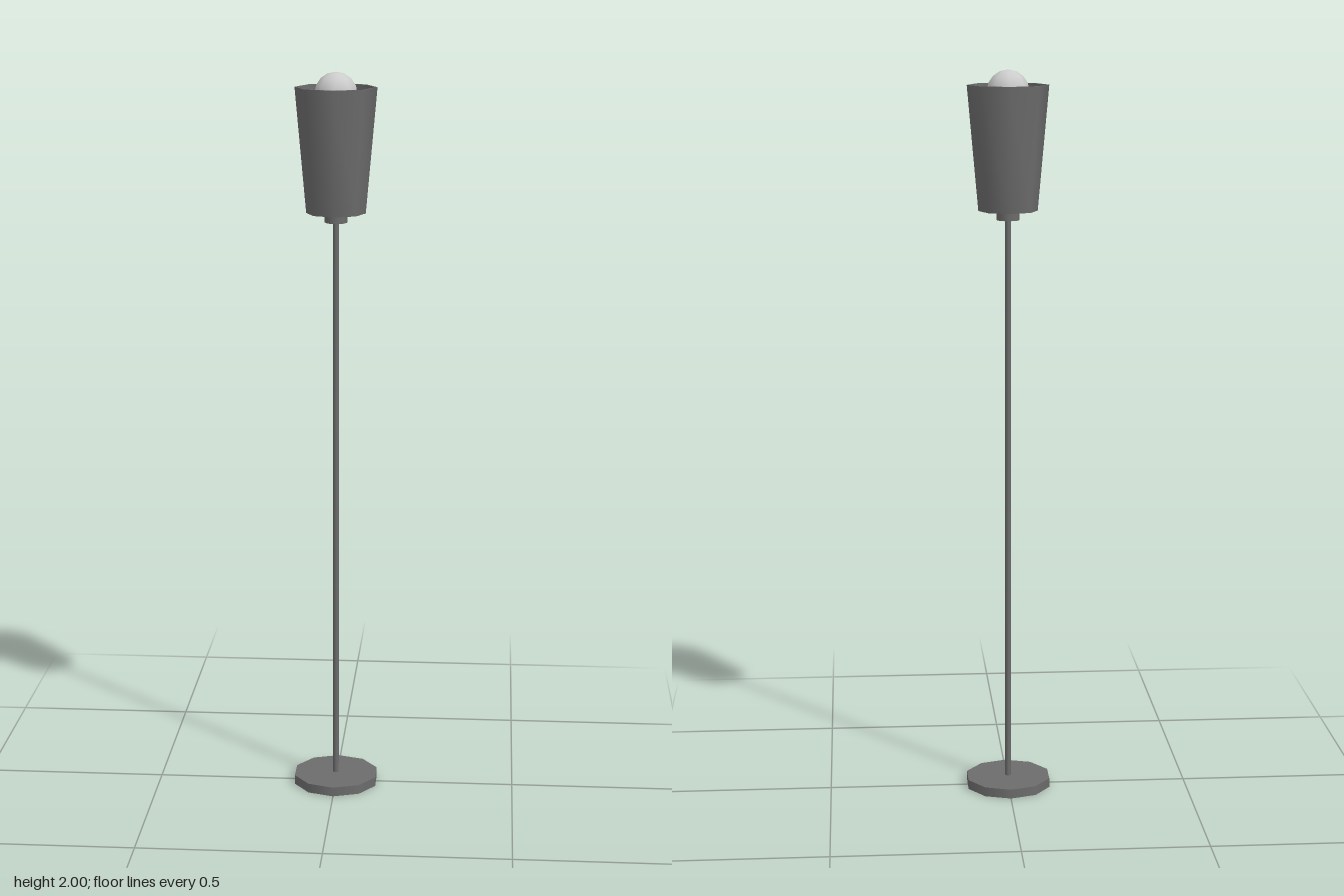
import * as THREE from 'three';
import { toCreasedNormals } from 'three/addons/utils/BufferGeometryUtils.js';

const dark = new THREE.MeshStandardMaterial({ color: 0x6c6c6c });
const light = new THREE.MeshStandardMaterial({ color: 0xcccccc });

export function createModel() {
  const model = new THREE.Group();

  const add = (name, geometry, material = dark) => {
    const mesh = new THREE.Mesh(geometry, material);
    mesh.name = name;
    model.add(mesh);
  };
  // Upright cylinder between two heights
  const post = (radius, y0, y1, sides) =>
    new THREE.CylinderGeometry(radius, radius, y1 - y0, sides).translate(0, (y0 + y1) / 2, 0);
  // Eight-sided turned part, profile given as [radius, height]
  const turned = (profile) =>
    toCreasedNormals(new THREE.LatheGeometry(profile.map(([r, y]) => new THREE.Vector2(r, y)), 8), 1);

  // Ten-sided foot, thin pole and the collar under the shade
  add('base', post(0.12, 0, 0.026, 10));
  add('pole', post(0.008, 0.026, 1.61, 8));
  add('collar', post(0.031, 1.6, 1.63, 8));

  // Flared cup, open at the top, with a wall and a solid floor
  add('shade', turned([
    [0, 1.625], [0.08, 1.625], [0.11, 1.96], [0.105, 1.96], [0.083, 1.68], [0, 1.68],
  ]));

  // Socket inside the cup
  add('socket', post(0.032, 1.68, 1.75, 8));

  // Bulb: tapered neck closed by a round dome
  const R = 0.057, centre = 1.943;
  const bulb = [[0.032, 1.74], [0.036, 1.78], [0.05, 1.86], [0.055, 1.905]];
  for (let i = 0; i <= 4; i++) {
    const a = (i * Math.PI) / 8;
    bulb.push([i === 4 ? 0 : R * Math.cos(a), centre + R * Math.sin(a)]);
  }
  add('bulb', turned(bulb), light);

  return model;
}
